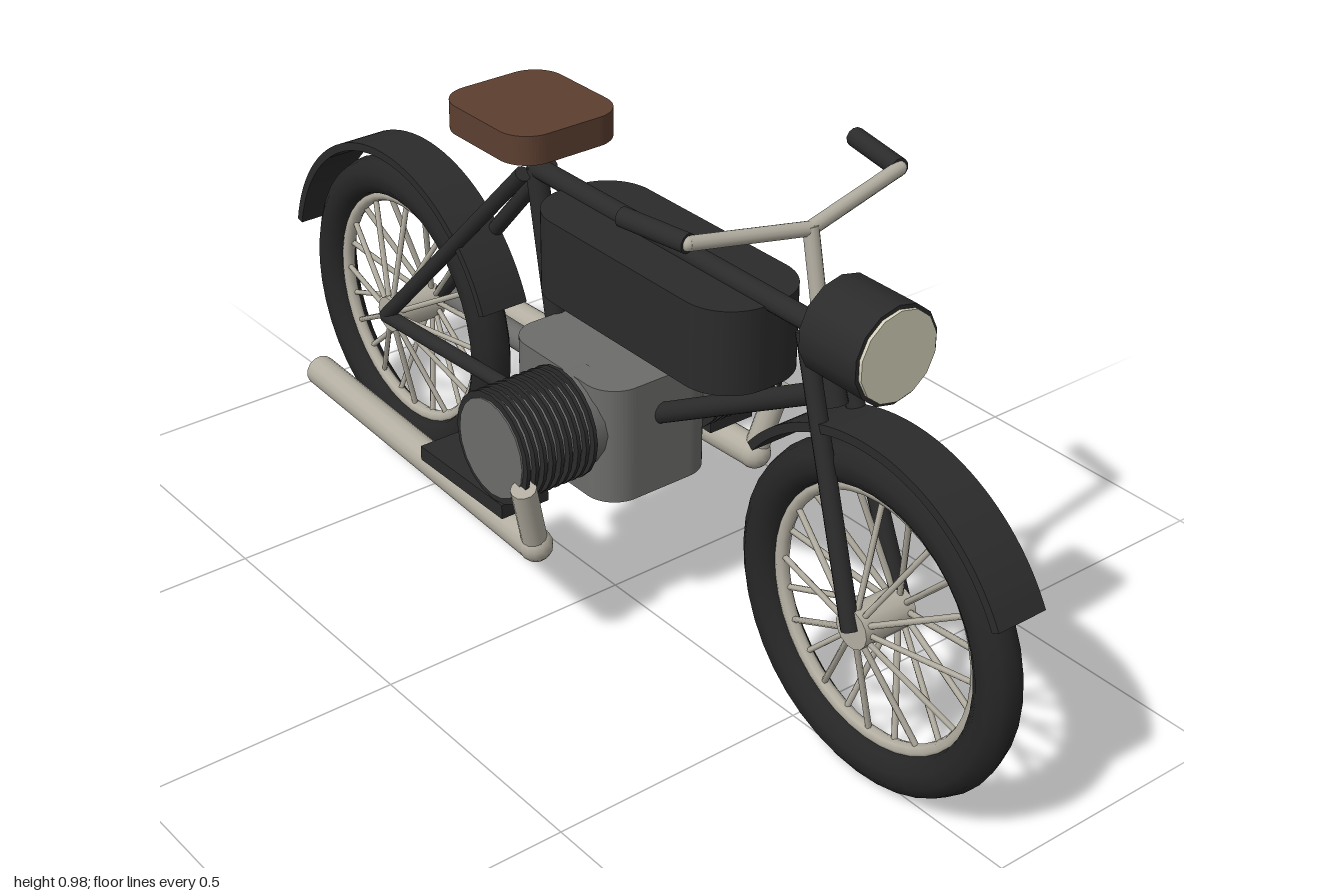
import * as THREE from 'three';

const mat = (name, color, side = THREE.FrontSide) => {
  const m = new THREE.MeshStandardMaterial({ color, side });
  m.name = name;
  return m;
};

export function createModel() {
  const root = new THREE.Group();
  root.name = 'motorcycle';
  const black = mat('black paint', 0x2b2b2b);
  const rubber = mat('tyre rubber', 0x262626);
  const chrome = mat('polished metal', 0xb3aea1);
  const cast = mat('cast metal', 0x6c6c6a);
  const leather = mat('brown leather', 0x5c3f30);
  const glass = mat('lamp glass', 0xd6d2bb);

  const V = (x, y, z) => new THREE.Vector3(x, y, z);
  const add = (name, geo, material, parent = root) => {
    const mesh = new THREE.Mesh(geo, material);
    mesh.name = name;
    parent.add(mesh);
    return mesh;
  };
  // straight round bar between two points
  const bar = (name, a, b, r, material, parent = root, sides = 12) => {
    const dir = b.clone().sub(a);
    const mesh = add(name, new THREE.CylinderGeometry(r, r, dir.length(), sides), material, parent);
    mesh.position.copy(a).add(b).multiplyScalar(0.5);
    mesh.quaternion.setFromUnitVectors(V(0, 1, 0), dir.normalize());
    return mesh;
  };
  // upright block with a rounded plan outline
  const roundedBlock = (name, w, z0, z1, y0, y1, r, material) => {
    const s = new THREE.Shape(), x = w / 2;
    s.moveTo(-x + r, -z1);
    s.lineTo(x - r, -z1);
    s.absarc(x - r, -z1 + r, r, -Math.PI / 2, 0);
    s.lineTo(x, -z0 - r);
    s.absarc(x - r, -z0 - r, r, 0, Math.PI / 2);
    s.lineTo(-x + r, -z0);
    s.absarc(-x + r, -z0 - r, r, Math.PI / 2, Math.PI);
    s.lineTo(-x, -z1 + r);
    s.absarc(-x + r, -z1 + r, r, Math.PI, Math.PI * 1.5);
    const geo = new THREE.ExtrudeGeometry(s, { depth: y1 - y0, bevelEnabled: false, curveSegments: 8 });
    geo.rotateX(-Math.PI / 2).translate(0, y0, 0);
    return add(name, geo, material);
  };

  // wheels: tyre, rim, hub and spokes leaning in from both hub flanges
  const FRONT = 0.69, REAR = -0.655, AXLE = 0.317;
  const wheel = (name, z) => {
    const g = new THREE.Group();
    g.name = name;
    g.position.set(0, AXLE, z);
    root.add(g);
    add('tyre', new THREE.TorusGeometry(0.272, 0.039, 10, 40).rotateY(Math.PI / 2), rubber, g);
    add('rim', new THREE.TorusGeometry(0.231, 0.013, 8, 40).rotateY(Math.PI / 2), chrome, g);
    add('hub', new THREE.CylinderGeometry(0.036, 0.036, 0.11, 14).rotateZ(Math.PI / 2), chrome, g);
    for (let i = 0; i < 24; i++) {
      const a = (i / 24) * Math.PI * 2, x = i % 2 ? 0.045 : -0.045;
      bar('spoke', V(x, Math.sin(a) * 0.02, Math.cos(a) * 0.02),
        V(0, Math.sin(a) * 0.23, Math.cos(a) * 0.23), 0.0055, chrome, g, 6);
    }
  };
  wheel('frontWheel', FRONT);
  wheel('rearWheel', REAR);

  // mudguards: flat curved bands, angles in degrees from the front
  const mudguard = (name, z, from, to) => {
    const a = THREE.MathUtils.degToRad(from), b = THREE.MathUtils.degToRad(to);
    const s = new THREE.Shape();
    s.absarc(0, 0, 0.348, a, b, false);
    s.absarc(0, 0, 0.332, b, a, true);
    const geo = new THREE.ExtrudeGeometry(s, { depth: 0.1, bevelEnabled: false, curveSegments: 20 });
    geo.translate(0, 0, -0.05).rotateY(-Math.PI / 2);
    add(name, geo, black).position.set(0, AXLE, z);
  };
  mudguard('frontMudguard', FRONT, 28, 141);
  mudguard('rearMudguard', REAR, 22, 167);

  // frame
  bar('topTube', V(0, 0.78, 0.53), V(0, 0.78, -0.225), 0.019, black);
  bar('downTube', V(0, 0.68, 0.56), V(0, 0.41, 0.08), 0.019, black);
  bar('headTube', V(0, 0.79, 0.525), V(0, 0.66, 0.57), 0.022, black);
  bar('seatTube', V(0, 0.78, -0.225), V(0, 0.33, -0.14), 0.02, black);
  bar('bottomTube', V(0, 0.33, 0.1), V(0, 0.33, -0.15), 0.019, black);
  for (const s of [1, -1]) {
    bar('forkLeg', V(s * 0.032, 0.785, 0.527), V(s * 0.057, AXLE, FRONT), 0.016, black);
    bar('rearStay', V(s * 0.03, 0.775, -0.225), V(s * 0.06, AXLE, REAR), 0.015, black);
  }
  bar('lowerStay', V(-0.04, 0.33, -0.13), V(-0.06, AXLE, REAR), 0.015, black);
  bar('driveShaft', V(0.08, 0.335, -0.08), V(0.085, 0.32, REAR), 0.025, cast);

  // tank, seat and engine case
  roundedBlock('fuelTank', 0.213, -0.13, 0.415, 0.62, 0.775, 0.09, black);
  roundedBlock('seat', 0.232, -0.365, -0.112, 0.845, 0.9, 0.06, leather);
  bar('seatPost', V(0, 0.775, -0.222), V(0, 0.86, -0.25), 0.016, chrome);
  roundedBlock('engineCase', 0.243, -0.16, 0.14, 0.29, 0.515, 0.06, cast);

  for (const s of [1, -1]) {
    // finned cylinder
    const cyl = new THREE.Group();
    cyl.name = s > 0 ? 'leftCylinder' : 'rightCylinder';
    cyl.position.set(0, 0.425, 0.028);
    root.add(cyl);
    bar('barrel', V(s * 0.08, 0, 0), V(s * 0.29, 0, 0), 0.092, cast, cyl, 20);
    for (let i = 0; i < 9; i++) {
      const x = s * (0.141 + i * 0.0178);
      bar('fin', V(x - 0.0035, 0, 0), V(x + 0.0035, 0, 0), 0.104, black, cyl, 20);
    }
    // exhaust: header, bend and silencer
    const bend = V(s * 0.25, 0.25, 0.1);
    bar('exhaustHeader', V(s * 0.288, 0.388, 0.12), bend, 0.023, chrome);
    add('exhaustBend', new THREE.SphereGeometry(0.031, 14, 10), chrome).position.copy(bend);
    bar('silencer', bend, V(s * 0.217, 0.248, -0.655), 0.03, chrome, root, 14);
    // footboard
    add('footboard', new THREE.BoxGeometry(0.1, 0.028, 0.25), black).position.set(s * 0.235, 0.304, -0.075);
    // handlebar half and grip
    const end = V(s * 0.218, 0.968, 0.462);
    bar('handlebar', V(0, 0.94, 0.495), end, 0.0125, chrome);
    add('handlebarJoint', new THREE.SphereGeometry(0.0125, 10, 8), chrome).position.copy(end);
    bar('grip', end, V(s * 0.242, 0.97, 0.332), 0.017, black);
  }
  bar('handlebarStem', V(0, 0.78, 0.53), V(0, 0.945, 0.495), 0.0135, chrome);

  // headlamp
  bar('headlampShell', V(0, 0.805, 0.57), V(0, 0.805, 0.698), 0.086, black, root, 14);
  bar('headlampLens', V(0, 0.805, 0.696), V(0, 0.805, 0.704), 0.079, glass, root, 14);
  bar('headlampBracket', V(0, 0.79, 0.525), V(0, 0.8, 0.58), 0.02, black);

  // centre on the ground plane
  const box = new THREE.Box3().setFromObject(root);
  const c = box.getCenter(new THREE.Vector3());
  root.children.forEach((o) => o.position.add(V(-c.x, -box.min.y, -c.z)));
  return root;
}
